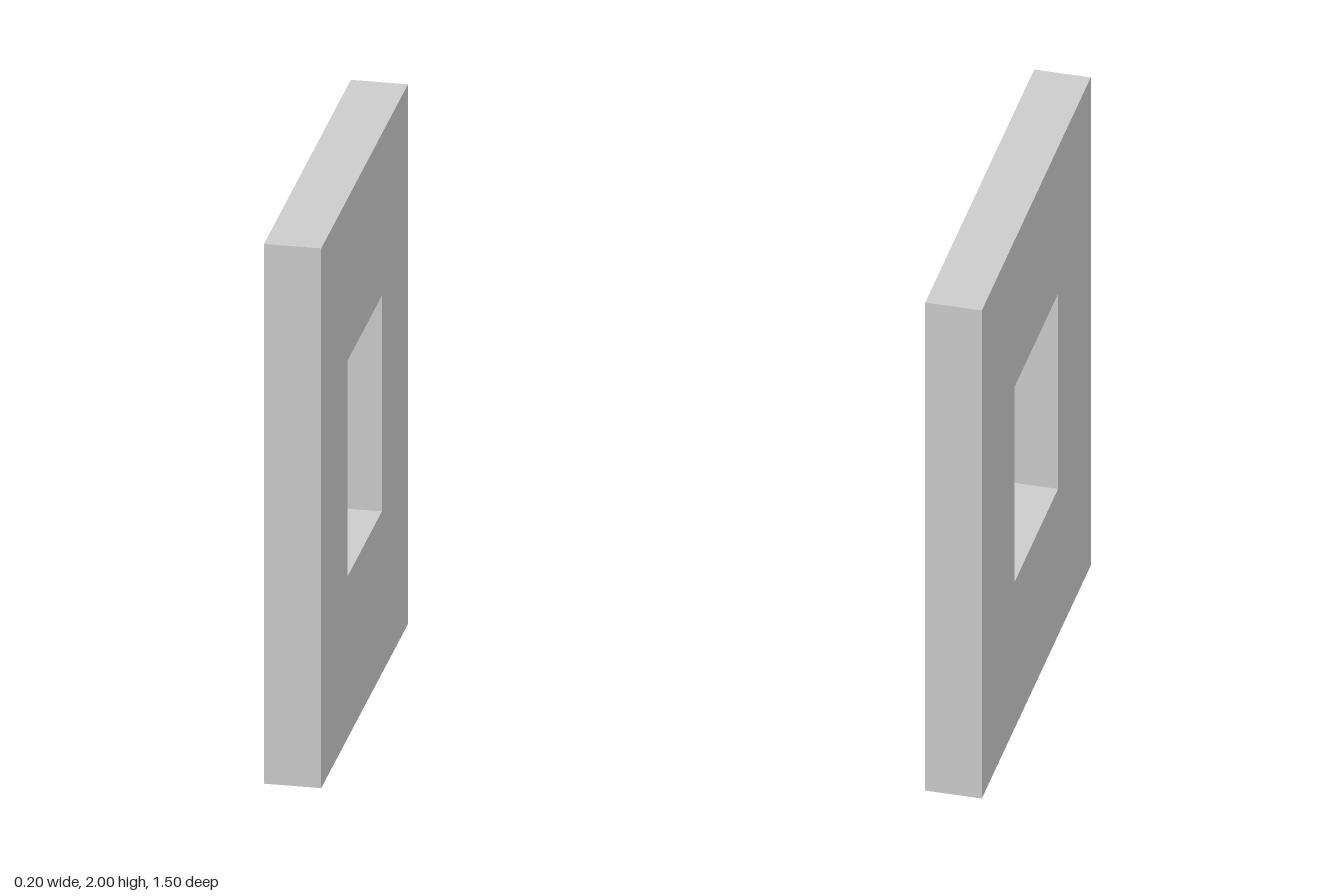
import * as THREE from 'three';

const WIDTH = 1.5, HEIGHT = 2, THICKNESS = 0.2;
const HOLE_WIDTH = 0.6, HOLE_BOTTOM = 0.6, HOLE_TOP = 1.4;

// Rectangle centred on the horizontal axis, between two heights
function rectangle(target, width, bottom, top) {
  const h = width / 2;
  target.moveTo(-h, bottom);
  target.lineTo(h, bottom);
  target.lineTo(h, top);
  target.lineTo(-h, top);
  target.closePath();
  return target;
}

export function createModel() {
  const group = new THREE.Group();
  group.name = 'windowWall';

  // Upright wall slab with a rectangular window opening
  const outline = rectangle(new THREE.Shape(), WIDTH, 0, HEIGHT);
  outline.holes.push(rectangle(new THREE.Path(), HOLE_WIDTH, HOLE_BOTTOM, HOLE_TOP));
  const geometry = new THREE.ExtrudeGeometry(outline, { depth: THICKNESS, bevelEnabled: false });

  // Centre the thickness, then turn the slab so its broad faces look along x
  geometry.translate(0, 0, -THICKNESS / 2);
  geometry.rotateY(Math.PI / 2);

  const wall = new THREE.Mesh(
    geometry,
    new THREE.MeshStandardMaterial({ color: 0xcccccc, flatShading: true })
  );
  wall.name = 'wall';
  group.add(wall);
  return group;
}
